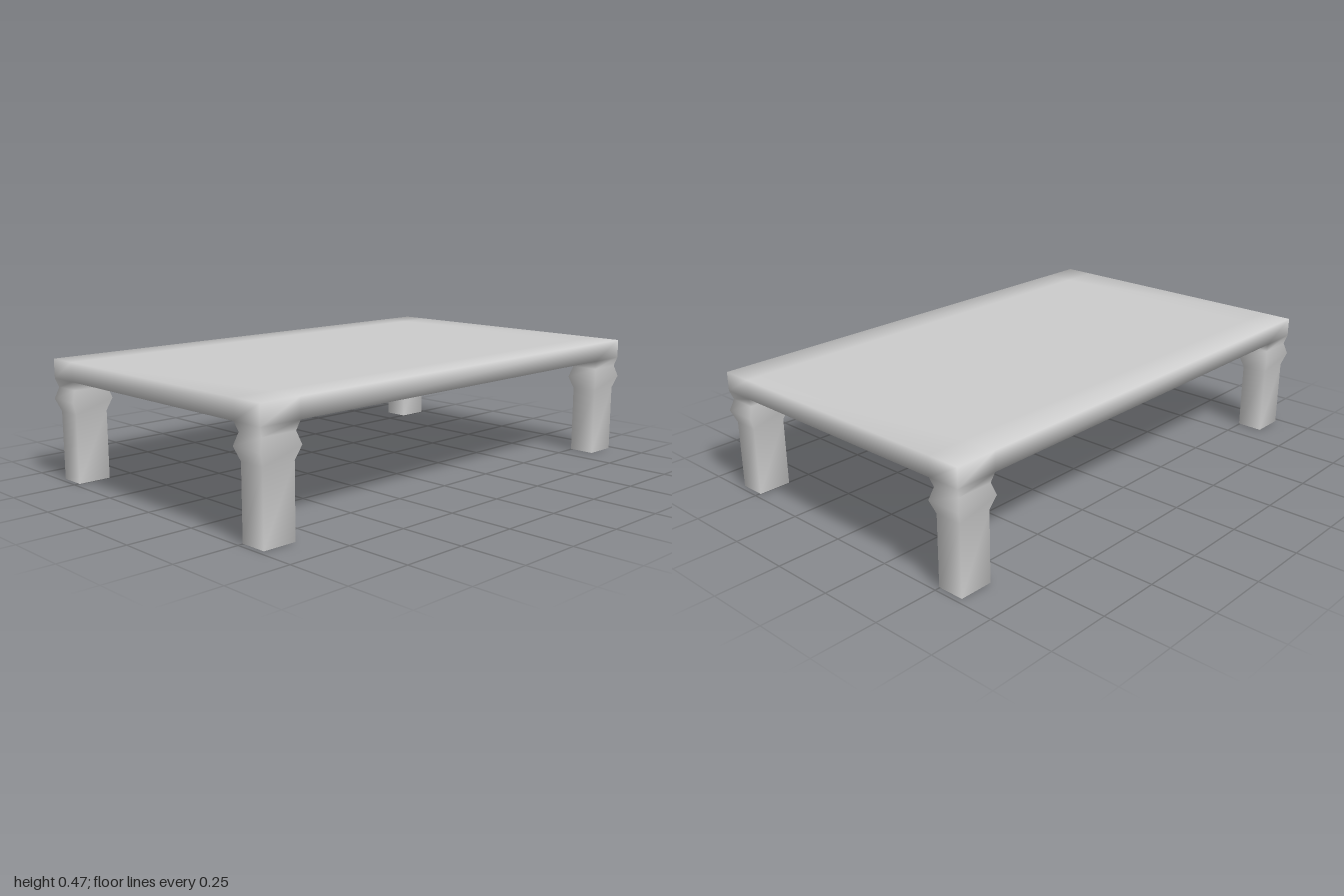
import * as THREE from 'three';
import { mergeVertices } from 'three/addons/utils/BufferGeometryUtils.js';

// grid lines of the slab; the corner cells of its underside continue into the legs
const XS = [-0.613, -0.485, 0.485, 0.613];
const ZS = [-0.995, -0.83, 0.83, 0.995];
const TOP = 0.475, UNDER = 0.40;

// leg centre, and sections going down: [y, half width, half depth]
const LEG_X = 0.549, LEG_Z = 0.9125;
const LEG = [
  [UNDER, 0.064, 0.0825],
  [0.365, 0.0555, 0.0705],
  [0.32, 0.0675, 0.0855],
  [0.27, 0.0525, 0.066],
  [0, 0.0525, 0.066],
];

export function createModel() {
  const group = new THREE.Group();
  const material = new THREE.MeshStandardMaterial({ color: 0xcccccc, side: THREE.DoubleSide });
  const points = [];
  const parts = [];
  const quad = (a, b, c, d) => points.push(...a, ...b, ...c, ...a, ...c, ...d);
  const part = (name, build) => {
    const start = points.length;
    build();
    parts.push({ name, start, end: points.length });
  };

  // slab: top, underside without the leg cells, and four rims
  part('tableTop', () => {
    for (let i = 0; i < 3; i++) {
      const x0 = XS[i], x1 = XS[i + 1], u0 = ZS[i], u1 = ZS[i + 1];
      for (let j = 0; j < 3; j++) {
        const z0 = ZS[j], z1 = ZS[j + 1];
        quad([x0, TOP, z1], [x1, TOP, z1], [x1, TOP, z0], [x0, TOP, z0]);
        if (i === 1 || j === 1) {
          quad([x0, UNDER, z0], [x1, UNDER, z0], [x1, UNDER, z1], [x0, UNDER, z1]);
        }
      }
      const X = XS[3], Z = ZS[3];
      quad([x0, UNDER, Z], [x1, UNDER, Z], [x1, TOP, Z], [x0, TOP, Z]);
      quad([x1, UNDER, -Z], [x0, UNDER, -Z], [x0, TOP, -Z], [x1, TOP, -Z]);
      quad([X, UNDER, u1], [X, UNDER, u0], [X, TOP, u0], [X, TOP, u1]);
      quad([-X, UNDER, u0], [-X, UNDER, u1], [-X, TOP, u1], [-X, TOP, u0]);
    }
  });

  // legs: square sections joined in rings, open at the foot
  for (const [sx, side] of [[1, 'Left'], [-1, 'Right']]) {
    for (const [sz, end] of [[1, 'front'], [-1, 'back']]) {
      part(`${end}${side}Leg`, () => {
        const rings = LEG.map(([y, w, d]) =>
          [[-1, 1], [1, 1], [1, -1], [-1, -1]].map(([a, b]) => [sx * LEG_X + a * w, y, sz * LEG_Z + b * d]));
        for (let r = 0; r < rings.length - 1; r++) {
          const up = rings[r], low = rings[r + 1];
          for (let k = 0; k < 4; k++) {
            const n = (k + 1) % 4;
            quad(low[k], low[n], up[n], up[k]);
          }
        }
      });
    }
  }

  // shade everything as one smooth skin, then split it into its parts
  const soup = new THREE.BufferGeometry();
  soup.setAttribute('position', new THREE.Float32BufferAttribute(points, 3));
  const welded = mergeVertices(soup);
  welded.computeVertexNormals();
  const skin = welded.toNonIndexed();
  for (const { name, start, end } of parts) {
    const geometry = new THREE.BufferGeometry();
    for (const key of ['position', 'normal']) {
      geometry.setAttribute(key, new THREE.BufferAttribute(skin.attributes[key].array.slice(start, end), 3));
    }
    const mesh = new THREE.Mesh(geometry, material);
    mesh.name = name;
    group.add(mesh);
  }
  return group;
}
